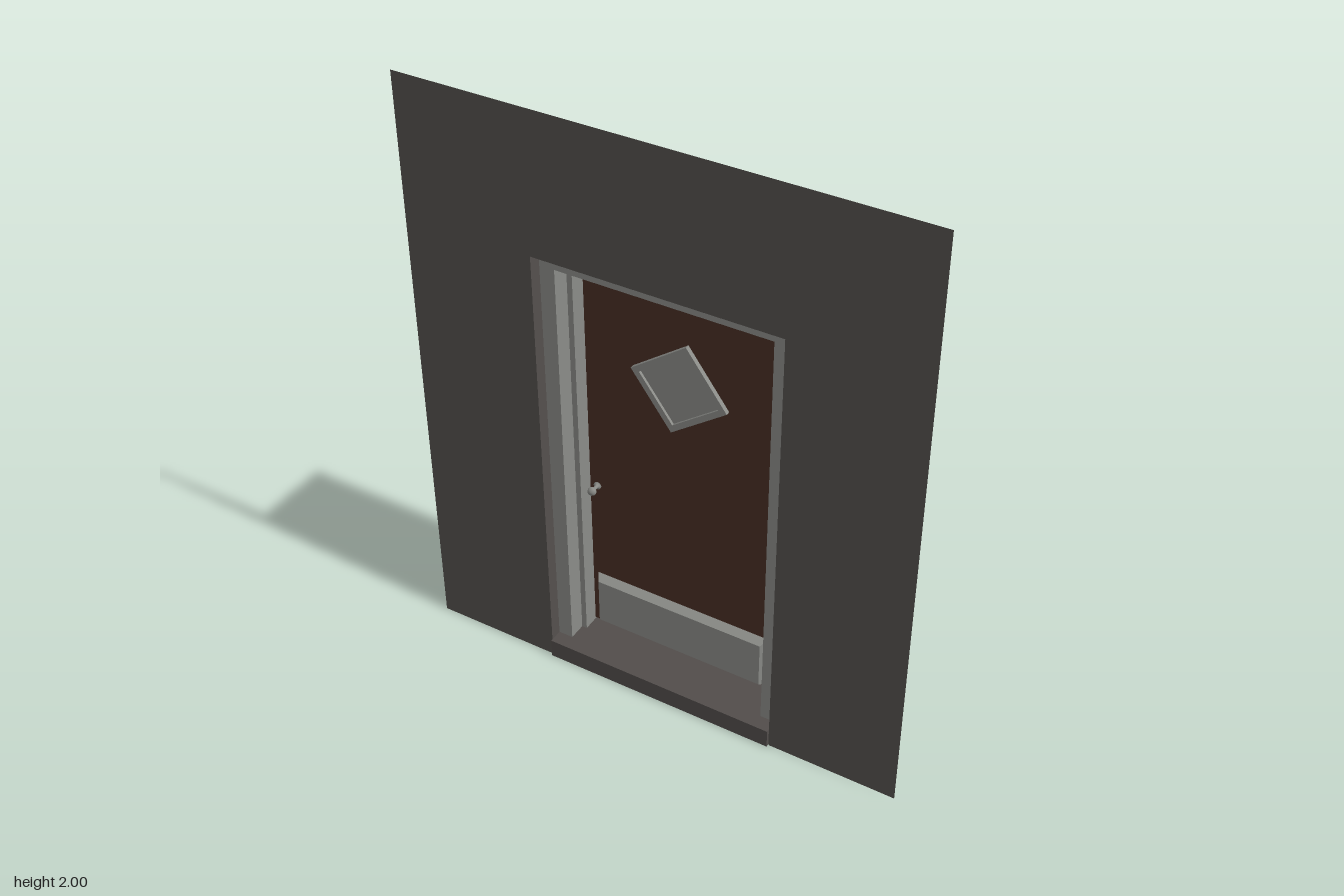
import * as THREE from 'three';

const material = (name, color, side = THREE.FrontSide) => {
  const m = new THREE.MeshStandardMaterial({ color, side });
  m.name = name;
  return m;
};

// Polygon shape from a list of corners
const polygon = (points) => new THREE.Shape(points.map(([x, y]) => new THREE.Vector2(x, y)));

// Upside-down U, open at the bottom
const archShape = (outerX, outerY, innerX, innerY, base) => polygon([
  [-outerX, base], [-innerX, base], [-innerX, innerY], [innerX, innerY],
  [innerX, base], [outerX, base], [outerX, outerY], [-outerX, outerY],
]);

const rectShape = (w, h) => polygon([[-w / 2, -h / 2], [w / 2, -h / 2], [w / 2, h / 2], [-w / 2, h / 2]]);

// Straight extrusion between two depths
const extrude = (shape, zBack, zFront) =>
  new THREE.ExtrudeGeometry(shape, { depth: zFront - zBack, bevelEnabled: false }).translate(0, 0, zBack);

export function createModel() {
  const model = new THREE.Group();
  model.name = 'doorway';

  const wallMat = material('wall grey', 0x54504d, THREE.DoubleSide);
  const sillMat = material('sill grey', 0x524d4b);
  const trimMat = material('trim grey', 0x8b8c88);
  const doorMat = material('door brown', 0x482f25);

  const add = (name, geometry, mat, parent = model) => {
    const mesh = new THREE.Mesh(geometry, mat);
    mesh.name = name;
    parent.add(mesh);
    return mesh;
  };

  const wallZ = 0.15, returnZ = -0.06;
  const openX = 0.4015, openY = 1.5365;
  const sillTop = 0.066;

  // Thin wall sheet with the door opening
  add('wall', new THREE.ShapeGeometry(archShape(0.833, 2, openX, openY, 0)).translate(0, 0, wallZ), wallMat);

  // Wall sheet folded back around the opening
  const depth = wallZ - returnZ, midZ = (wallZ + returnZ) / 2;
  for (const side of [-1, 1]) {
    const g = new THREE.PlaneGeometry(depth, openY).rotateY(side * Math.PI / 2);
    add('wallReturnSide', g.translate(side * openX, openY / 2, midZ), wallMat);
  }
  add('wallReturnTop', new THREE.PlaneGeometry(openX * 2, depth).rotateX(-Math.PI / 2)
    .translate(0, openY, midZ), wallMat);

  // Door frame with an inner stop
  add('doorFrame', extrude(archShape(0.4, 1.535, 0.35, 1.487, sillTop), -0.157, 0.11), trimMat);
  add('doorStop', extrude(archShape(0.352, 1.489, 0.332, 1.466, sillTop), -0.137, 0.05), trimMat);

  // Sill
  add('sill', new THREE.BoxGeometry(0.8, sillTop, 0.316).translate(0, sillTop / 2, 0.001), sillMat);

  // Door leaf
  const doorFront = -0.005, doorBack = -0.028;
  const door = new THREE.Group();
  door.name = 'door';
  model.add(door);
  add('doorLeaf', new THREE.BoxGeometry(0.666, 1.396, doorFront - doorBack)
    .translate(0, 0.77, (doorFront + doorBack) / 2), doorMat, door);

  // Bevelled kick plate
  const kick = new THREE.ExtrudeGeometry(rectShape(0.592, 0.165), {
    depth: 0.002, bevelThickness: 0.025, bevelSize: 0.015, bevelSegments: 1,
  });
  add('kickPlate', kick, trimMat, door).position.set(-0.002, 0.182, doorFront);

  // Tilted square window, showing on both faces
  const windowGroup = new THREE.Group();
  windowGroup.name = 'window';
  windowGroup.position.set(-0.005, 1.13, 0);
  windowGroup.rotation.z = 0.63;
  door.add(windowGroup);
  const surround = rectShape(0.23, 0.23);
  surround.holes.push(rectShape(0.19, 0.19));
  add('windowFrame', extrude(surround, doorBack - 0.015, doorFront + 0.015), trimMat, windowGroup);
  add('windowPane', extrude(rectShape(0.192, 0.192), doorBack - 0.006, doorFront + 0.006), trimMat, windowGroup);

  // Door knob
  const knobProfile = [[0, 0], [0.013, 0], [0.013, 0.004], [0.006, 0.008], [0.006, 0.022],
    [0.013, 0.028], [0.015, 0.035], [0.011, 0.043], [0, 0.045]].map(([r, h]) => new THREE.Vector2(r, h));
  add('knob', new THREE.LatheGeometry(knobProfile, 16).rotateX(Math.PI / 2), trimMat, door)
    .position.set(-0.305, 0.645, doorFront);

  return model;
}
